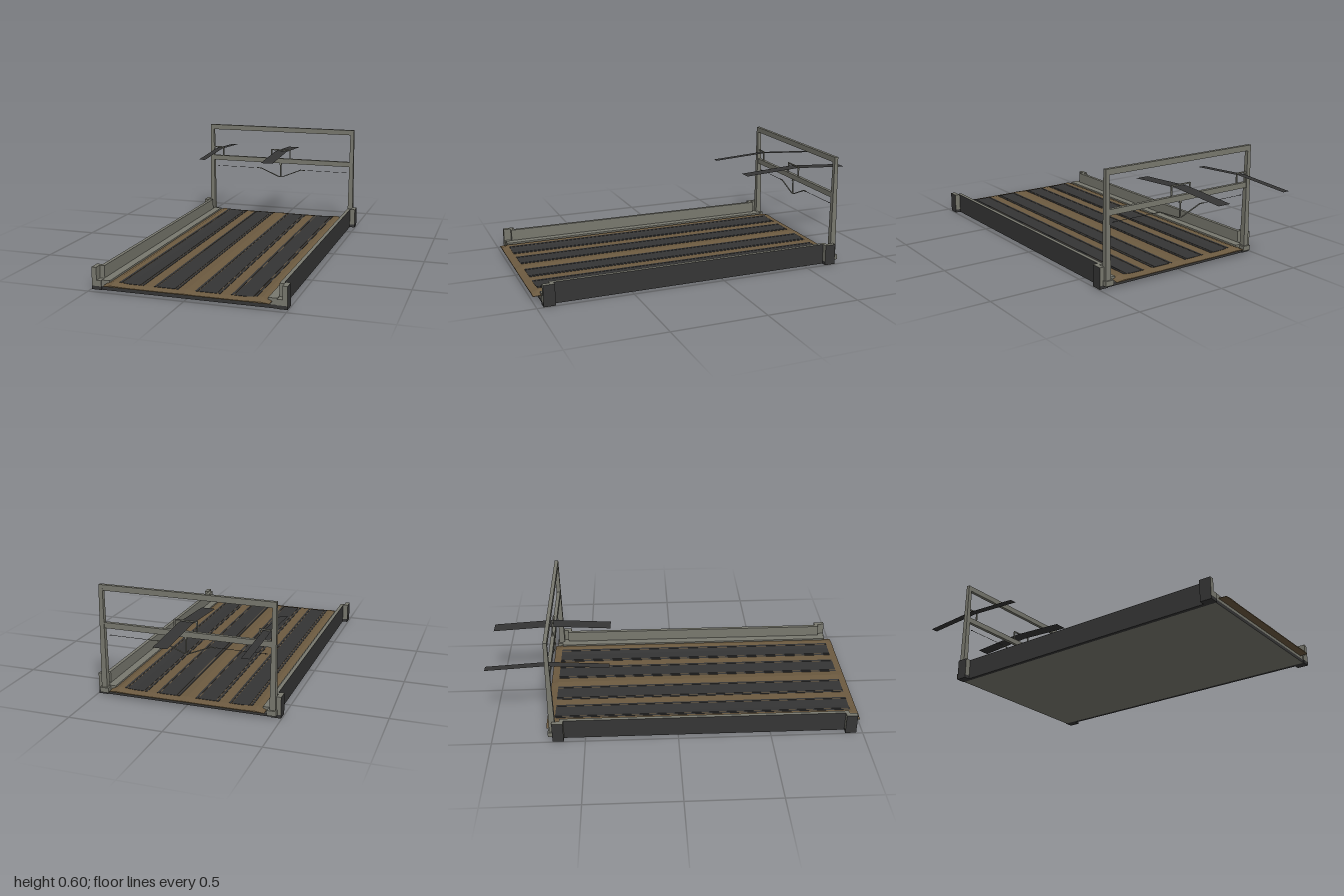
import * as THREE from 'three';

export function createModel() {
  const group = new THREE.Group();
  const mat = (name, color) => {
    const m = new THREE.MeshStandardMaterial({ color, side: THREE.DoubleSide });
    m.name = name;
    return m;
  };
  const steel = mat('greySteel', 0x78786e);
  const dark = mat('darkPanel', 0x353535);
  const wood = mat('brownPlanks', 0x6c5a40);

  const add = (name, geometry, material) => {
    const mesh = new THREE.Mesh(geometry, material);
    mesh.name = name;
    group.add(mesh);
    return mesh;
  };
  // box given by its limits on each axis
  const box = (name, [x0, x1], [y0, y1], [z0, z1], material) => {
    const g = new THREE.BoxGeometry(x1 - x0, y1 - y0, z1 - z0);
    g.translate((x0 + x1) / 2, (y0 + y1) / 2, (z0 + z1) / 2);
    return add(name, g, material);
  };
  // square bar between two points in the gantry plane
  const gantryZ = -0.675;
  const bar = (name, [ax, ay], [bx, by], t, material) => {
    const g = new THREE.BoxGeometry(Math.hypot(bx - ax, by - ay), t, t);
    g.rotateZ(Math.atan2(by - ay, bx - ax));
    g.translate((ax + bx) / 2, (ay + by) / 2, gantryZ);
    return add(name, g, material);
  };
  const Z = [-0.67, 0.96];

  // base slab: dark rim, grey underside
  box('baseSlab', [-0.446, 0.446], [0, 0.018], Z, [dark, dark, dark, steel, dark, dark]);
  box('slabCore', [-0.44, 0.44], [0.018, 0.032], Z, steel);

  // deck height across its width: ridges at the centre and near both edges
  const profile = [[0, 0.047], [0.05, 0.0425], [0.3, 0.0425], [0.375, 0.05], [0.42, 0.035]];
  const height = (x) => {
    const a = Math.abs(x);
    const i = Math.max(1, profile.findIndex(([px]) => px >= a));
    const [x0, y0] = profile[i - 1], [x1, y1] = profile[i];
    return y0 + (y1 - y0) * (a - x0) / (x1 - x0);
  };
  // strip that follows the deck profile, with its underside at a fixed or following height
  const layer = (xs, bottom, lift, [z0, z1]) => {
    const top = xs.map((x) => new THREE.Vector2(x, height(x) + lift));
    const under = xs.map((x) => new THREE.Vector2(x, bottom ?? height(x) - 0.001)).reverse();
    const g = new THREE.ExtrudeGeometry(new THREE.Shape([...top, ...under]), { depth: z1 - z0, bevelEnabled: false });
    return g.translate(0, 0, z0);
  };
  const deckXs = [-0.42, -0.375, -0.3, -0.05, 0, 0.05, 0.3, 0.375, 0.42];
  add('deck', layer(deckXs, 0.031, 0, Z), wood);

  // lips at both ends of the deck, thinning outwards
  for (const [z0, z1, tip] of [[0.96, 1, 1], [-0.712, -0.67, -0.712]]) {
    const g = layer(deckXs, 0.031, 0, [z0, z1]);
    const p = g.attributes.position;
    for (let i = 0; i < p.count; i++) {
      if (Math.abs(p.getZ(i) - tip) < 0.001) p.setY(i, 0.031 + (p.getY(i) - 0.031) * 0.35);
    }
    g.computeVertexNormals();
    add('deckLip', g, wood);
  }

  // dark lanes with a narrow strip along each side
  for (const s of [-1, 1]) {
    for (const [a, b] of [[0.043, 0.169], [0.223, 0.349]]) {
      for (const [p, q] of [[a, a + 0.012], [a + 0.017, b - 0.017], [b - 0.012, b]]) {
        const xs = [p, q, ...[0.05, 0.3].filter((v) => v > p && v < q)].map((v) => v * s);
        add('deckLane', layer(xs.sort((m, n) => m - n), undefined, 0.0018, Z), dark);
      }
    }
  }

  for (const s of [-1, 1]) {
    // side walls, dark on the outside and below
    const skin = [s > 0 ? dark : steel, s < 0 ? dark : steel, steel, dark, steel, steel];
    const X = (a, b) => (s > 0 ? [a, b] : [-b, -a]);
    box('sideWall', X(0.446, 0.466), [0, 0.112], [-0.635, 0.925], skin);
    box('wallLedge', X(0.402, 0.446), [0.018, 0.05], Z, steel);

    // wall ends step outwards, leaving a niche on the inside
    for (const [jog, end] of [[[0.905, 0.925], [0.905, 0.965]], [[-0.635, -0.615], [-0.675, -0.615]]]) {
      box('wallReturn', X(0.466, 0.472), [0.018, 0.112], jog, steel);
      box('endPost', X(0.471, 0.496), [0.018, 0.113], end, skin);
      box('nicheFloor', X(0.446, 0.471), [0.018, 0.047], end, steel);
      box('endFoot', X(0.446, 0.496), [0, 0.018], end, dark);
    }

    // gantry post, narrowing upwards
    const post = new THREE.BoxGeometry(1, 1, 1);
    const p = post.attributes.position;
    for (let i = 0; i < p.count; i++) {
      const up = p.getY(i) > 0;
      const x = p.getX(i) * s > 0 ? (up ? 0.468 : 0.472) : (up ? 0.447 : 0.441);
      const z = p.getZ(i) > 0 ? (up ? -0.665 : -0.659) : (up ? -0.685 : -0.692);
      p.setXYZ(i, x * s, up ? 0.6 : 0.02, z);
    }
    post.computeVertexNormals();
    add('gantryPost', post, steel);
    box('postFoot', X(0.43, 0.478), [0.018, 0.045], [-0.7, -0.66], steel);
  }

  // gantry cross beams
  for (const y of [0.37, 0.57]) {
    box('crossBeam', [-0.455, 0.455], [y, y + 0.03], [-0.685, -0.665], steel);
  }

  // small hoops on the lower beam
  for (const [a, b] of [[-0.448, -0.381], [-0.063, 0.063]]) {
    bar('hoopSide', [a + 0.003, 0.4], [a + 0.003, 0.457], 0.007, steel);
    bar('hoopSide', [b - 0.003, 0.4], [b - 0.003, 0.457], 0.007, steel);
    bar('hoopTop', [a, 0.454], [b, 0.454], 0.007, steel);
  }

  // thin sheets passing through the hoops, folded at the middle
  for (const [x, w] of [[-0.415, 0.04], [0, 0.074]]) {
    const g = new THREE.PlaneGeometry(w, 0.645, 1, 2).toNonIndexed();
    g.rotateX(-Math.PI / 2);
    const p = g.attributes.position;
    for (let i = 0; i < p.count; i++) p.setY(i, 0.443 - 0.02 * Math.abs(p.getZ(i)) / 0.3225);
    g.translate(x, 0, -0.6775);
    g.computeVertexNormals();
    add('foldedSheet', g, dark);
  }

  // hanging bracket with swept arms and fine wires
  bar('bracketStem', [0, 0.37], [0, 0.28], 0.006, steel);
  bar('bracketFoot', [-0.013, 0.281], [0.013, 0.281], 0.005, steel);
  bar('bracketHead', [0, 0.37], [0, 0.357], 0.011, steel);
  for (const s of [-1, 1]) {
    bar('bracketArm', [0.011 * s, 0.281], [0.131 * s, 0.331], 0.005, steel);
    bar('bracketTip', [0.128 * s, 0.331], [0.158 * s, 0.331], 0.005, steel);
    bar('wire', [0.158 * s, 0.331], [0.425 * s, 0.331], 0.0018, dark);
    bar('wireClamp', [0.411 * s, 0.331], [0.418 * s, 0.331], 0.004, dark);
  }
  return group;
}
